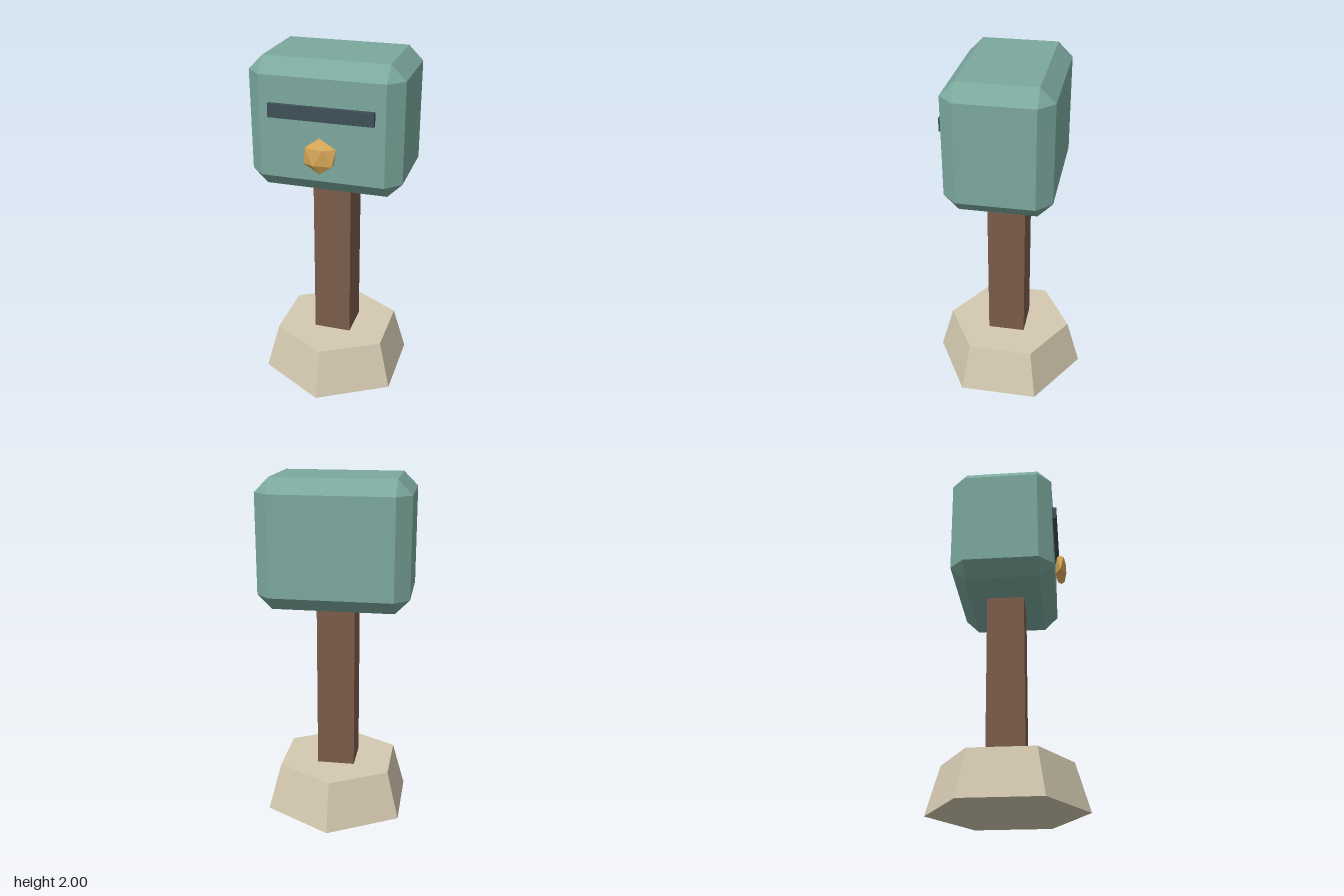
import * as THREE from 'three';
import { ConvexGeometry } from 'three/addons/geometries/ConvexGeometry.js';

// Box with flat chamfered edges and triangular corners
function chamferBox(hx, hy, hz, c) {
  const points = [];
  for (const x of [-1, 1]) for (const y of [-1, 1]) for (const z of [-1, 1]) {
    points.push(
      new THREE.Vector3(x * hx, y * (hy - c), z * (hz - c)),
      new THREE.Vector3(x * (hx - c), y * hy, z * (hz - c)),
      new THREE.Vector3(x * (hx - c), y * (hy - c), z * hz)
    );
  }
  return new ConvexGeometry(points);
}

export function createModel() {
  const group = new THREE.Group();
  group.name = 'mailbox';

  function add(name, geometry, color, y, z = 0) {
    const material = new THREE.MeshStandardMaterial({ color, flatShading: true });
    const mesh = new THREE.Mesh(geometry, material);
    mesh.name = name;
    mesh.position.set(0, y, z);
    group.add(mesh);
    return mesh;
  }

  // Six-sided tapered foot, corners pointing to front and back
  add('base', new THREE.CylinderGeometry(0.374, 0.455, 0.28, 6), 0xd4c9b0, 0.14);

  // Square post, sunk slightly into foot and box
  add('post', new THREE.BoxGeometry(0.22, 1.07, 0.22), 0x7a5c4a, 0.775);

  // Letter box
  add('box', chamferBox(0.428, 0.365, 0.297, 0.082), 0x7ba89d, 1.635);

  // Mail slot plate
  add('slot', new THREE.BoxGeometry(0.58, 0.075, 0.045), 0x3f4f57, 1.733, 0.2995);

  // Faceted knob: flattened icosahedron standing on a vertex
  const knob = new THREE.IcosahedronGeometry(0.102, 0);
  knob.rotateZ(-Math.atan(2 / (1 + Math.sqrt(5))));
  knob.scale(1, 1, 0.38);
  add('knob', knob, 0xd9a858, 1.51, 0.333);

  return group;
}
